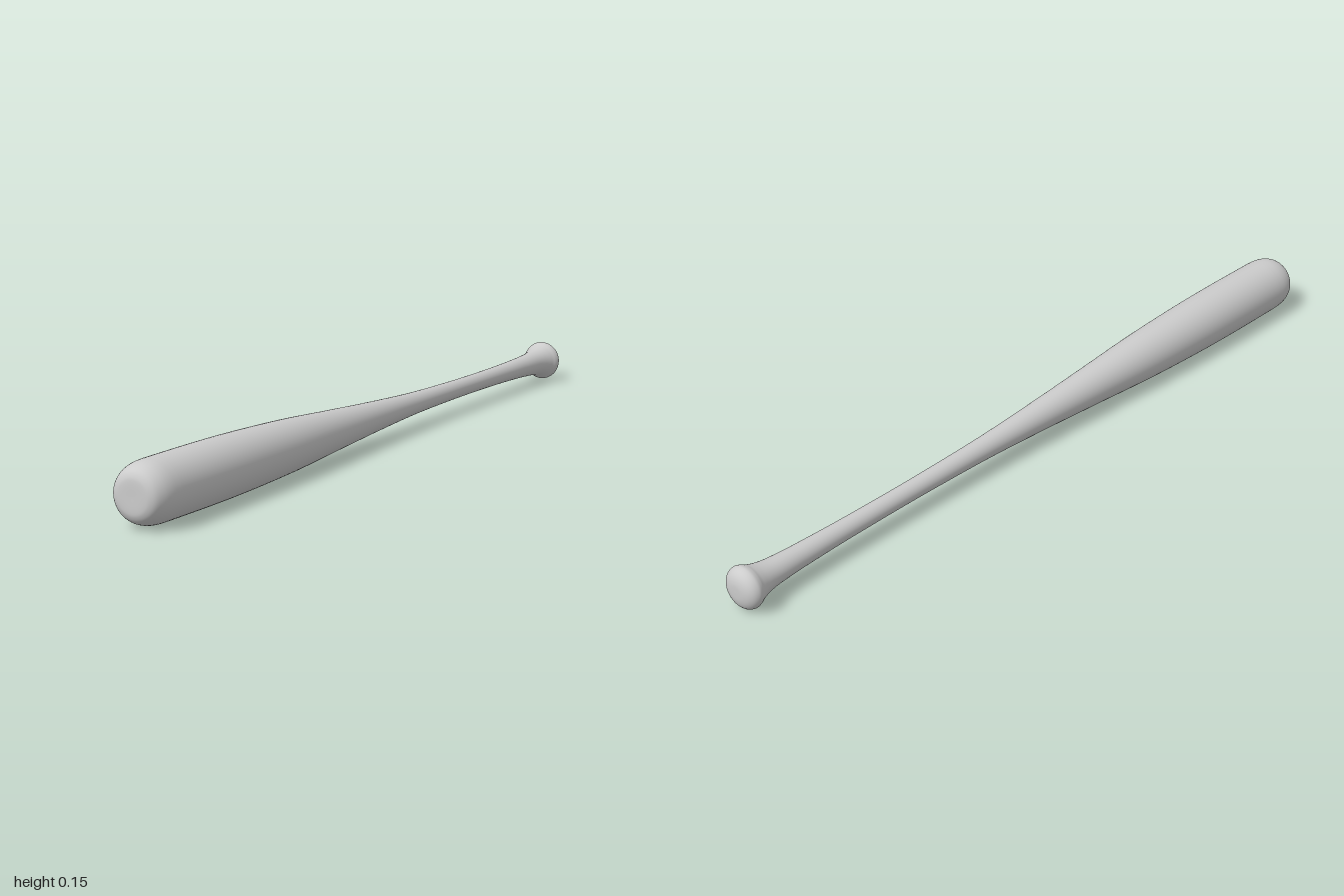
import * as THREE from 'three';

// Smooth curve through [radius, position along the length] pairs
function smooth(points, steps) {
  return new THREE.SplineCurve(points.map(([r, l]) => new THREE.Vector2(r, l))).getPoints(steps);
}

export function createModel() {
  const group = new THREE.Group();
  group.name = 'bat';

  // Rounded knob that flares into the handle
  const knob = smooth([
    [0, -1], [0.02, -0.999], [0.036, -0.994], [0.047, -0.985], [0.052, -0.973],
    [0.05, -0.962], [0.044, -0.949], [0.037, -0.925], [0.032, -0.89], [0.028, -0.82],
  ], 54);

  // Slim handle, long taper and barrel
  const shaft = smooth([
    [0.028, -0.82], [0.025, -0.7], [0.0238, -0.55], [0.0245, -0.4], [0.0285, -0.2],
    [0.038, 0], [0.05, 0.2], [0.0625, 0.4], [0.0698, 0.6], [0.072, 0.75], [0.0718, 0.92],
  ], 70);

  // Rounded barrel end with a nearly flat face
  const tip = smooth([
    [0.0718, 0.92], [0.0705, 0.948], [0.066, 0.97], [0.057, 0.988],
    [0.045, 0.997], [0.03, 1], [0, 1],
  ], 36);

  const profile = [...knob, ...shaft.slice(1), ...tip.slice(1)];
  profile.forEach((p) => { p.x = Math.max(p.x, 0); });

  const bat = new THREE.Mesh(
    new THREE.LatheGeometry(profile, 64),
    new THREE.MeshStandardMaterial({ color: 0xcccccc }),
  );
  bat.name = 'batBody';
  // Lying along z, tilted slightly so that barrel and knob rest on the ground
  bat.rotation.x = Math.PI / 2 - 0.0095;
  bat.position.y = 0.067;
  group.add(bat);
  return group;
}
